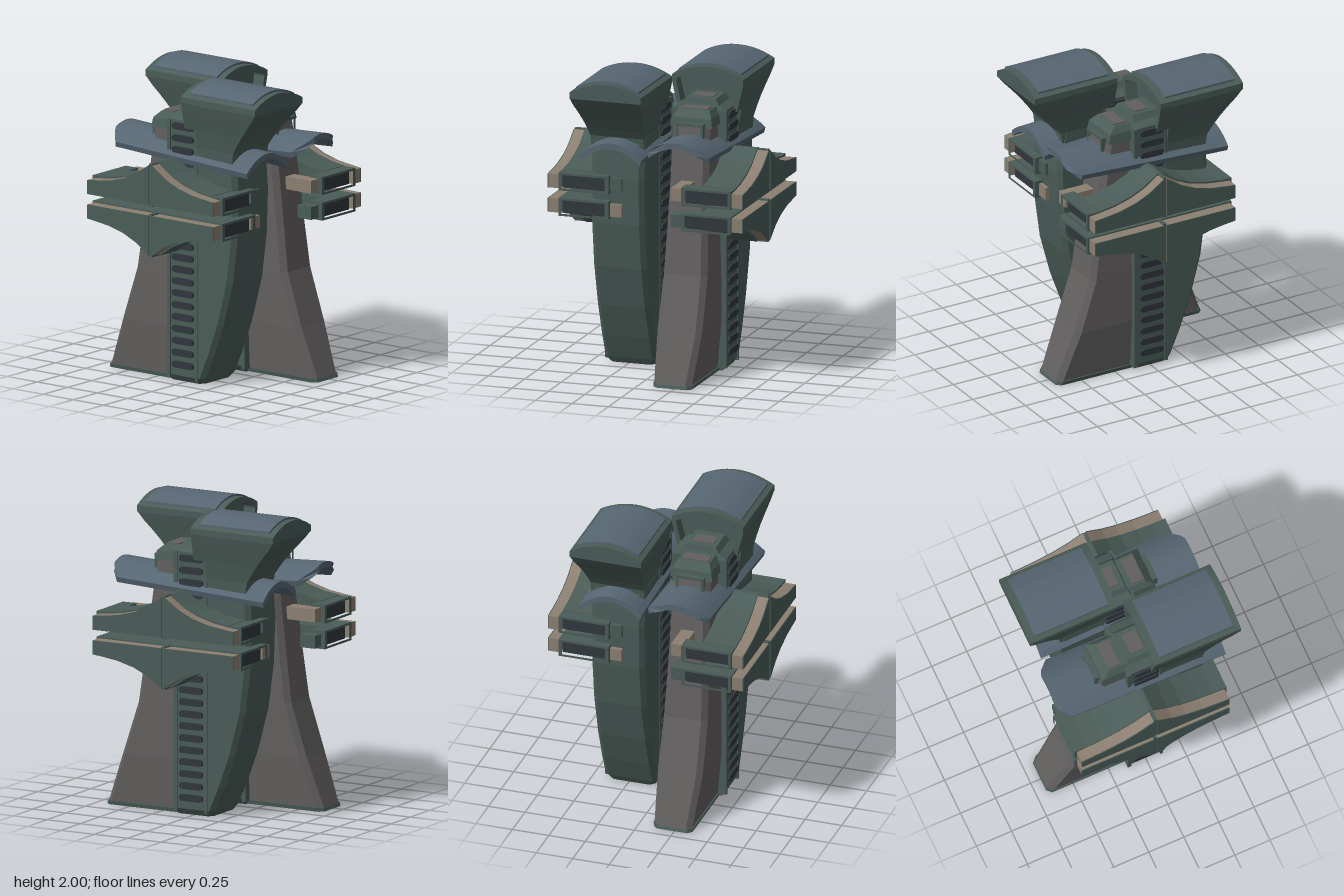
import * as THREE from 'three';

const mat = (color, side = THREE.FrontSide) => new THREE.MeshStandardMaterial({ color, flatShading: true, side });
const GREEN = mat(0x4a5c57), BLUE = mat(0x566672), GREY = mat(0x625f5f);
const TAN = mat(0x8c7f71), DARK = mat(0x30373d);
const C = 0.235; // depth centre of one tower

function add(parent, name, geometry, material) {
  const mesh = new THREE.Mesh(geometry, material);
  mesh.name = name;
  parent.add(mesh);
  return mesh;
}

// Box given by its limits
function box(x0, x1, y0, y1, z0, z1) {
  return new THREE.BoxGeometry(x1 - x0, y1 - y0, z1 - z0)
    .translate((x0 + x1) / 2, (y0 + y1) / 2, (z0 + z1) / 2);
}

const shapeOf = pts => new THREE.Shape(pts.map(p => new THREE.Vector2(...p)));

// Outline of [x, y] points pushed along z
function alongZ(pts, z0, z1) {
  return new THREE.ExtrudeGeometry(shapeOf(pts), { depth: z1 - z0, bevelEnabled: false, curveSegments: 6 })
    .translate(0, 0, z0);
}

// Outline of [z, y] points, with an optional hole, pushed along x
function alongX(pts, x0, x1, hole) {
  const flip = list => list.map(([z, y]) => [-z, y]);
  const shape = shapeOf(flip(pts));
  if (hole) shape.holes.push(shapeOf(flip(hole)));
  return new THREE.ExtrudeGeometry(shape, { depth: x1 - x0, bevelEnabled: false, steps: 1 })
    .rotateY(Math.PI / 2).translate(x0, 0, 0);
}

// Horizontal ring with chamfered corners on the -x (a) and +x (b) side
function ring(y, x0, x1, z0, z1, a = 0, b = 0) {
  const p = [];
  if (b) p.push([x1 - b, y, z1], [x1, y, z1 - b], [x1, y, z0 + b], [x1 - b, y, z0]);
  else p.push([x1, y, z1], [x1, y, z0]);
  if (a) p.push([x0 + a, y, z0], [x0, y, z0 + a], [x0, y, z1 - a], [x0 + a, y, z1]);
  else p.push([x0, y, z0], [x0, y, z1]);
  return p;
}

// Solid through stacked rings, closed at both ends
function loft(rings) {
  const v = [], n = rings[0].length, top = rings[rings.length - 1];
  for (let r = 0; r + 1 < rings.length; r++) {
    for (let i = 0; i < n; i++) {
      const j = (i + 1) % n, a = rings[r], b = rings[r + 1];
      v.push(...a[i], ...a[j], ...b[j], ...a[i], ...b[j], ...b[i]);
    }
  }
  for (let i = 1; i + 1 < n; i++) {
    v.push(...rings[0][0], ...rings[0][i + 1], ...rings[0][i]);
    v.push(...top[0], ...top[i], ...top[i + 1]);
  }
  const g = new THREE.BufferGeometry();
  g.setAttribute('position', new THREE.Float32BufferAttribute(v, 3));
  g.computeVertexNormals();
  return g;
}

// Arc of [z, y] points around the tower centre
function arc(half, peak, drop, n = 12) {
  return Array.from({ length: n + 1 }, (_, i) => {
    const t = (2 * i) / n - 1;
    return [C + t * half, peak - drop * t * t];
  });
}

function buildTower(g) {
  // Bowed body
  const bow = [[0, 0.13], [0.04, 0.155], [0.2, 0.225], [0.42, 0.305], [0.7, 0.38], [1, 0.42], [1.3, 0.43], [1.5, 0.415], [1.58, 0.4]];
  add(g, 'body', loft(bow.map(([y, x], i) =>
    ring(y, -0.12, x, i ? 0.05 : 0.08, i ? 0.412 : 0.385, 0, 0.03))), GREEN);

  // Flared buttress and its sole
  const flare = [[0.02, -0.672, 0.1, 0.36], [0.35, -0.55, 0.082, 0.388], [0.7, -0.435, 0.085, 0.385],
    [1, -0.395, 0.095, 0.375], [1.5, -0.33, 0.105, 0.365], [1.68, -0.3, 0.11, 0.36]];
  add(g, 'buttress', loft(flare.map(([y, x, z0, z1]) => ring(y, x, -0.1, z0, z1, 0.035))), GREY);
  add(g, 'sole', loft([ring(0, -0.68, -0.1, 0.1, 0.365, 0.03), ring(0.025, -0.67, -0.1, 0.095, 0.37, 0.03)]), GREEN);

  // Ladder spine: rails and slots showing on both faces
  for (const [x0, x1] of [[-0.135, -0.11], [0.095, 0.115]]) {
    add(g, 'spineRail', box(x0, x1, 0.02, 1.74, 0.045, 0.42), GREEN);
  }
  const slot = new THREE.Shape();
  slot.absarc(0.06, 0, 0.022, -Math.PI / 2, Math.PI / 2);
  slot.absarc(-0.07, 0, 0.022, Math.PI / 2, Math.PI * 1.5);
  const slotGeo = new THREE.ExtrudeGeometry(slot, { depth: 0.39, bevelEnabled: false, curveSegments: 5 });
  for (let i = 0; i < 21; i++) {
    add(g, 'spineSlot', slotGeo, DARK).position.set(0, 0.115 + i * 0.0793, 0.038);
  }

  // Stepped neck
  add(g, 'neck', loft([ring(1.5, -0.12, 0.11, 0.05, 0.412), ring(1.74, -0.12, 0.11, 0.05, 0.412),
    ring(1.77, -0.11, 0.1, 0.11, 0.36), ring(1.81, -0.1, 0.09, 0.135, 0.335)]), GREEN);
  add(g, 'neckCap', box(-0.065, 0.03, 1.8, 1.816, 0.165, 0.305), GREY);
  add(g, 'shoulder', loft([ring(1.66, -0.3, -0.1, 0.09, 0.38), ring(1.72, -0.29, -0.1, 0.1, 0.37),
    ring(1.765, -0.24, -0.1, 0.13, 0.34)]), GREEN);
  add(g, 'shoulderPanel', box(-0.235, -0.15, 1.76, 1.772, 0.145, 0.325), GREY);
  add(g, 'shoulderVent', alongX([[0.14, 1.57], [0.33, 1.57], [0.33, 1.69], [0.14, 1.69]], -0.33, -0.27,
    [[0.16, 1.59], [0.31, 1.59], [0.31, 1.67], [0.16, 1.67]]), GREEN);
}

function buildCollar(g) {
  // Arched, tilted plate with clipped corners at the high end
  const outline = [...arc(0.215, 1.6, 0.1), ...arc(0.205, 1.56, 0.095).reverse()];
  const geo = alongX(outline, -0.62, 0.55), p = geo.attributes.position;
  for (let i = 0; i < p.count; i++) {
    const x = p.getX(i), off = Math.abs(p.getZ(i) - C);
    p.setY(i, p.getY(i) - x * 0.05);
    if (x < -0.6) p.setX(i, x + Math.max(0, off - 0.125) * 0.9);
  }
  geo.computeVertexNormals();
  add(g, 'collar', geo, BLUE);
}

function buildHead(g) {
  // Concave bell
  const bell = [[1.5, 0.4, 0.18], [1.58, 0.41, 0.183], [1.64, 0.45, 0.192], [1.7, 0.495, 0.203],
    [1.76, 0.545, 0.217], [1.82, 0.6, 0.232], [1.88, 0.645, 0.245]];
  add(g, 'headBell', loft(bell.map(([y, x, h]) => ring(y, 0.11, x, C - h, C + h))), GREEN);
  // Arched roof
  const top = arc(0.245, 1.987, 0.07);
  add(g, 'headRoof', alongX([[C - 0.245, 1.875], ...top, [C + 0.245, 1.875]], 0.11, 0.645), GREEN);
  // Hollow inner end
  const skirt = bell.slice(3).map(([y, , h]) => [h, y]);
  const rim = (inset, roof) => [
    ...skirt.map(([h, y]) => [C - h + inset, y]), ...roof,
    ...skirt.map(([h, y]) => [C + h - inset, y]).reverse()];
  const hole = rim(0.03, arc(0.21, 1.945, 0.05)).map(([z, y]) => [z, Math.max(y, 1.72)]);
  add(g, 'headHood', alongX(rim(0, top), 0.025, 0.11, hole), GREEN);
  // Roof plate
  add(g, 'headPlate', alongX([...arc(0.215, 2, 0.054), ...arc(0.215, 1.97, 0.054).reverse()], 0.075, 0.6), BLUE);
}

// Winged pod, centred on its own x and on the gap between the two pods
function buildPod() {
  const pod = new THREE.Group();
  const crest = [[0.012, 0.313], [0.05, 0.288], [0.12, 0.24], [0.22, 0.195], [0.34, 0.163], [0.45, 0.148], [0.54, 0.14]];
  const mirrored = pts => pts.map(([x, y]) => [-x, y]).reverse();
  const core = crest.slice(0, 6);
  add(pod, 'podCore', alongZ([[-0.45, 0.025], [0.45, 0.025], ...core.slice().reverse(), ...mirrored(core).reverse()], 0.39, 0.613), GREEN);
  add(pod, 'podRib', box(-0.012, 0.012, 0.025, 0.31, 0.61, 0.685), GREEN);
  for (const s of [-1, 1]) {
    // Tan facing with a green front skin
    const side = crest.map(([x, y]) => [s * (x > 0.5 ? 0.525 : x), y - 0.012]);
    const panel = [[s * 0.012, 0.035], [s * 0.525, 0.035], ...side.reverse()];
    add(pod, 'podFacing', alongZ(panel, 0.61, 0.686), TAN);
    add(pod, 'podSkin', alongZ(panel, 0.686, 0.692), GREEN);
    // Open wing tip with dark recess and inner lug
    const [a, b] = s > 0 ? [0.44, 0.54] : [-0.54, -0.44];
    add(pod, 'wingTip', alongX([[0.27, 0.025], [0.613, 0.025], [0.613, 0.145], [0.27, 0.145]], a, b,
      [[0.295, 0.04], [0.59, 0.04], [0.59, 0.13], [0.295, 0.13]]), GREEN);
    add(pod, 'wingRecess', box(s > 0 ? 0.44 : -0.5, s > 0 ? 0.5 : -0.44, 0.035, 0.135, 0.29, 0.6), DARK);
    add(pod, 'wingLug', box(s > 0 ? 0.4 : -0.51, s > 0 ? 0.51 : -0.3, 0.045, 0.13, 0.19, 0.28), s > 0 ? GREEN : TAN);
  }
  return pod;
}

function buildHalf() {
  const half = new THREE.Group();
  buildTower(half);
  buildCollar(half);
  buildHead(half);
  for (const turn of [0, Math.PI]) {
    const pod = buildPod();
    pod.name = turn ? 'lowerPod' : 'upperPod';
    pod.position.set(-0.06, 1.185, 0);
    pod.rotation.z = turn;
    half.add(pod);
  }
  return half;
}

export function createModel() {
  const model = new THREE.Group();
  model.name = 'twinTower';
  // Two equal halves, back to back
  for (const name of ['frontHalf', 'backHalf']) {
    const half = buildHalf();
    half.name = name;
    if (name === 'backHalf') half.rotation.y = Math.PI;
    model.add(half);
  }
  return model;
}
